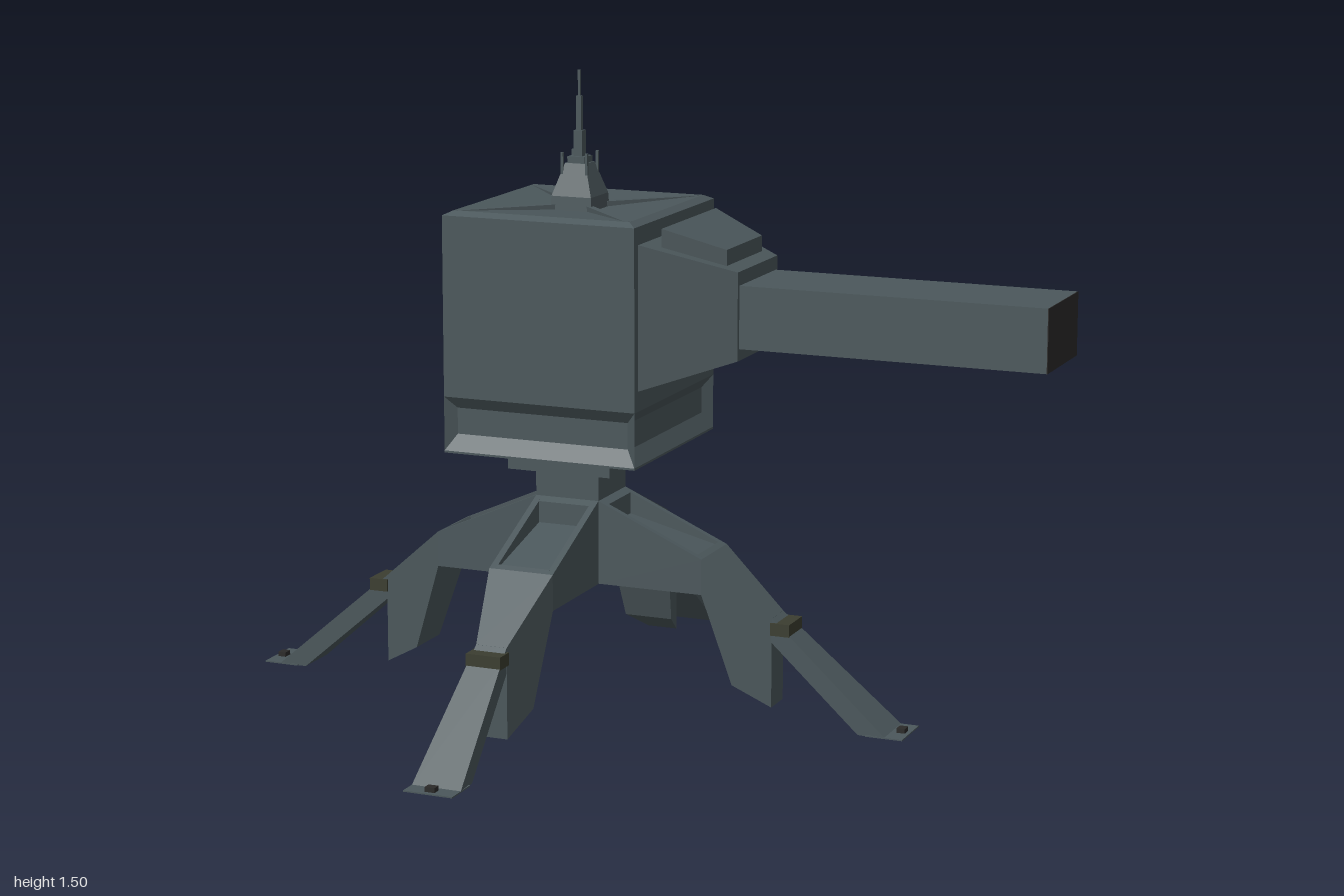
import * as THREE from 'three';

const paint = (color) => new THREE.MeshStandardMaterial({ color, flatShading: true });

// Skin a run of four-cornered loops, optionally closing the first and last
function loft(loops, capStart = true, capEnd = true) {
  const pos = [];
  const quad = (a, b, c, d) => pos.push(...a, ...b, ...c, ...a, ...c, ...d);
  for (let i = 0; i < loops.length - 1; i++) {
    const p = loops[i], q = loops[i + 1];
    for (let k = 0; k < 4; k++) {
      const n = (k + 1) % 4;
      quad(p[k], p[n], q[n], q[k]);
    }
  }
  if (capStart) quad(...[...loops[0]].reverse());
  if (capEnd) quad(...loops[loops.length - 1]);
  const g = new THREE.BufferGeometry();
  g.setAttribute('position', new THREE.Float32BufferAttribute(pos, 3));
  g.computeVertexNormals();
  return g;
}

// Rectangular loops square to each axis
const rectY = (y, w, d = w) => [[-w, y, d], [w, y, d], [w, y, -d], [-w, y, -d]];
const rectX = (x, y0, y1, d) => [[x, y0, d], [x, y0, -d], [x, y1, -d], [x, y1, d]];
const rectZ = (z, w, y0, y1) => [[-w, y0, z], [w, y0, z], [w, y1, z], [-w, y1, z]];

// Extrude a side profile, with half width varying along x
function slab(points, halfWidth) {
  const shape = new THREE.Shape(points.map(([x, y]) => new THREE.Vector2(x, y)));
  const g = new THREE.ExtrudeGeometry(shape, { depth: 2, bevelEnabled: false });
  g.translate(0, 0, -1);
  const p = g.attributes.position;
  for (let i = 0; i < p.count; i++) p.setZ(i, p.getZ(i) * halfWidth(p.getX(i)));
  g.computeVertexNormals();
  return g;
}

// Box given by its minimum and maximum corners
function span(x0, x1, y0, y1, z0, z1) {
  const g = new THREE.BoxGeometry(x1 - x0, y1 - y0, z1 - z0);
  return g.translate((x0 + x1) / 2, (y0 + y1) / 2, (z0 + z1) / 2);
}

export function createModel() {
  const model = new THREE.Group();
  const body = paint(0x4b575b);
  const dark = paint(0x2b2a29);
  const olive = paint(0x3b3d30);
  const CX = -0.17;

  const add = (parent, name, geometry, material = body) => {
    const mesh = new THREE.Mesh(geometry, material);
    mesh.name = name;
    parent.add(mesh);
    return mesh;
  };
  const group = (parent, name, x = 0) => {
    const g = new THREE.Group();
    g.name = name;
    g.position.x = x;
    parent.add(g);
    return g;
  };

  // Stand: hub and four identical legs
  const stand = group(model, 'stand', CX);
  add(stand, 'hub', span(-0.08, 0.08, 0.3, 0.5, -0.08, 0.08));
  add(stand, 'neck', span(-0.08, 0.08, 0.5, 0.57, -0.08, 0.08));
  add(stand, 'collar', span(-0.13, 0.13, 0.57, 0.622, -0.13, 0.13));

  const lerp = (r, r0, w0, r1, w1) => w0 + (w1 - w0) * (r - r0) / (r1 - r0);
  const rail = slab([[0.08, 0.3], [0.34, 0.3], [0.34, 0.385], [0.08, 0.5]], () => 0.008);
  // The middle of the upper leg has a sunken tray
  const tray = slab([[0.08, 0.3], [0.34, 0.3], [0.34, 0.385], [0.325, 0.392],
    [0.32, 0.385], [0.1, 0.44], [0.1, 0.491], [0.08, 0.5]], () => 0.065);
  const knee = slab([[0.34, 0.3], [0.41, 0.085], [0.5, 0.035], [0.5, 0.25], [0.34, 0.385]],
    (r) => lerp(r, 0.34, 0.08, 0.5, 0.038));
  const shin = slab([[0.49, 0.2], [0.72, 0], [0.79, 0], [0.53, 0.225], [0.49, 0.258]],
    (r) => lerp(r, 0.49, 0.037, 0.79, 0.06));

  for (let i = 0; i < 4; i++) {
    const leg = group(stand, 'leg');
    leg.rotation.y = i * Math.PI / 2;
    add(leg, 'legTray', tray);
    for (const s of [-1, 1]) add(leg, 'legRail', rail).position.z = s * 0.072;
    add(leg, 'knee', knee);
    add(leg, 'shin', shin);
    add(leg, 'kneeClamp', span(0.498, 0.545, 0.21, 0.24, -0.043, 0.043), olive);
    add(leg, 'footPlate', span(0.74, 0.83, 0, 0.003, -0.06, 0.06));
    add(leg, 'footBolt', span(0.8, 0.82, 0.003, 0.014, -0.012, 0.012), dark);
  }

  // Head: cube with a shallow dished roof and a sunken panel low on each side
  const head = group(model, 'head', CX);
  add(head, 'headShell', loft([rectY(0.755, 0.24), rectY(1.18, 0.24), rectY(1.19, 0.22),
    rectY(1.178, 0.05)], false));
  add(head, 'headFloor', span(-0.24, 0.24, 0.622, 0.627, -0.24, 0.24));
  const panel = loft([rectZ(0.24, 0.24, 0.627, 0.755), rectZ(0.22, 0.215, 0.665, 0.727)], false);
  for (let i = 0; i < 4; i++) {
    add(head, 'sidePanel', panel).rotation.y = i * Math.PI / 2;
    add(head, 'roofRidge', span(0.06, 0.305, 1.175, 1.19, -0.008, 0.008))
      .rotation.y = Math.PI / 4 + i * Math.PI / 2;
  }

  // Antenna: stepped base and mast
  const antenna = group(head, 'antenna');
  add(antenna, 'antennaBase', loft([rectY(1.175, 0.052), rectY(1.21, 0.05), rectY(1.285, 0.026)]));
  add(antenna, 'antennaBlock', span(-0.022, 0.022, 1.25, 1.3, -0.022, 0.022));
  for (const x of [-1, 1]) for (const z of [-1, 1]) {
    const post = add(antenna, 'antennaPost', span(-0.003, 0.003, 1.24, 1.31, -0.003, 0.003));
    post.position.set(x * 0.031, 0, z * 0.031);
  }
  [[1.3, 1.36, 0.011], [1.36, 1.44, 0.006], [1.44, 1.5, 0.003]].forEach(([y0, y1, w]) =>
    add(antenna, 'mast', span(-w, w, y0, y1, -w, w)));

  // Gun: tapered mount, hatch on top and square barrel
  const gun = group(model, 'gun');
  add(gun, 'gunMount', loft([rectX(0.065, 0.8, 1.14, 0.22), rectX(0.275, 0.87, 1.075, 0.125)]));
  add(gun, 'mountHatch', loft([rectX(0.105, 1.0, 1.17, 0.165), rectX(0.242, 1.0, 1.122, 0.11)]));
  add(gun, 'barrel', span(0.27, 0.998, 0.897, 1.043, -0.115, 0.115));
  add(gun, 'muzzle', span(0.998, 1, 0.897, 1.043, -0.115, 0.115), dark);

  return model;
}
